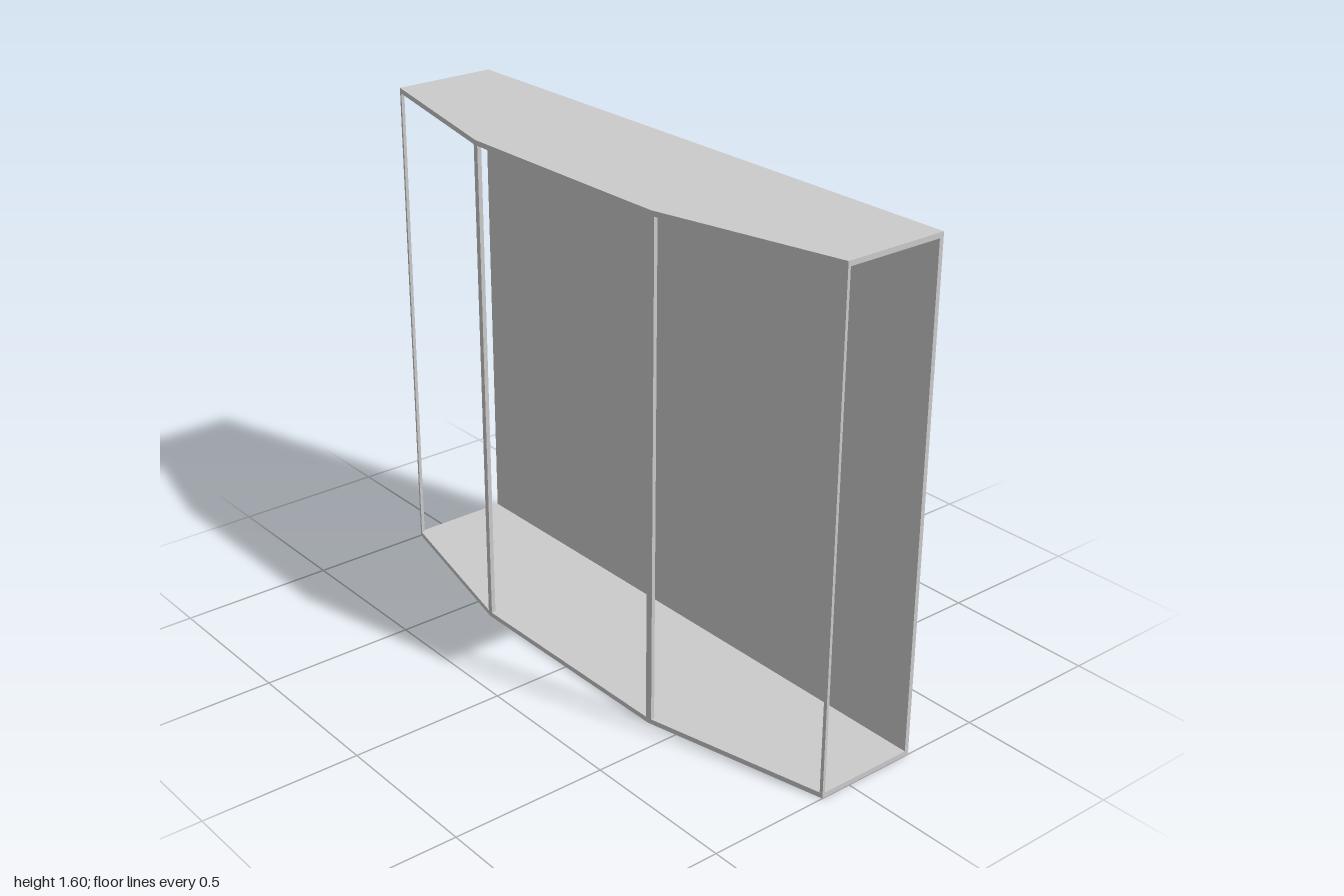
import * as THREE from 'three';

const HEIGHT = 1.6, SLAB = 0.016, BACK = 0.014;

export function createModel() {
  const group = new THREE.Group();
  const material = new THREE.MeshStandardMaterial({ color: 0xcccccc, flatShading: true });

  // Upright prism from a footprint of [x, z] points, between two heights
  function prism(name, footprint, y0, y1) {
    const shape = new THREE.Shape(footprint.map(([x, z]) => new THREE.Vector2(x, -z)));
    const geometry = new THREE.ExtrudeGeometry(shape, { depth: y1 - y0, bevelEnabled: false });
    geometry.rotateX(-Math.PI / 2);
    geometry.translate(0, y0, 0);
    const mesh = new THREE.Mesh(geometry, material);
    mesh.name = name;
    group.add(mesh);
  }

  // Floor and roof with the bay-shaped front
  const bay = [[-1, -0.239], [1, -0.239], [1, 0.104], [0.4, 0.239], [-0.4, 0.239], [-1, 0.104]];
  prism('floor', bay, 0, SLAB);
  prism('roof', bay, HEIGHT - SLAB, HEIGHT);

  // Back wall between floor and roof
  const back = new THREE.Mesh(new THREE.BoxGeometry(2, HEIGHT - 2 * SLAB, BACK), material);
  back.name = 'backWall';
  back.position.set(0, HEIGHT / 2, -0.239 + BACK / 2);
  group.add(back);

  // Slender posts at the four front corners, mirrored left and right
  const cornerPost = [[1, 0.104], [0.99, 0.106], [0.99, 0.095], [1, 0.095]];
  const frontPost = [[0.39, 0.239], [0.4, 0.239], [0.411, 0.2365], [0.411, 0.225], [0.39, 0.225]];
  for (const [side, s] of [['left', 1], ['right', -1]]) {
    const mirror = (points) => points.map(([x, z]) => [s * x, z]);
    prism(side + 'CornerPost', mirror(cornerPost), SLAB, HEIGHT - SLAB);
    prism(side + 'FrontPost', mirror(frontPost), SLAB, HEIGHT - SLAB);
  }
  return group;
}
